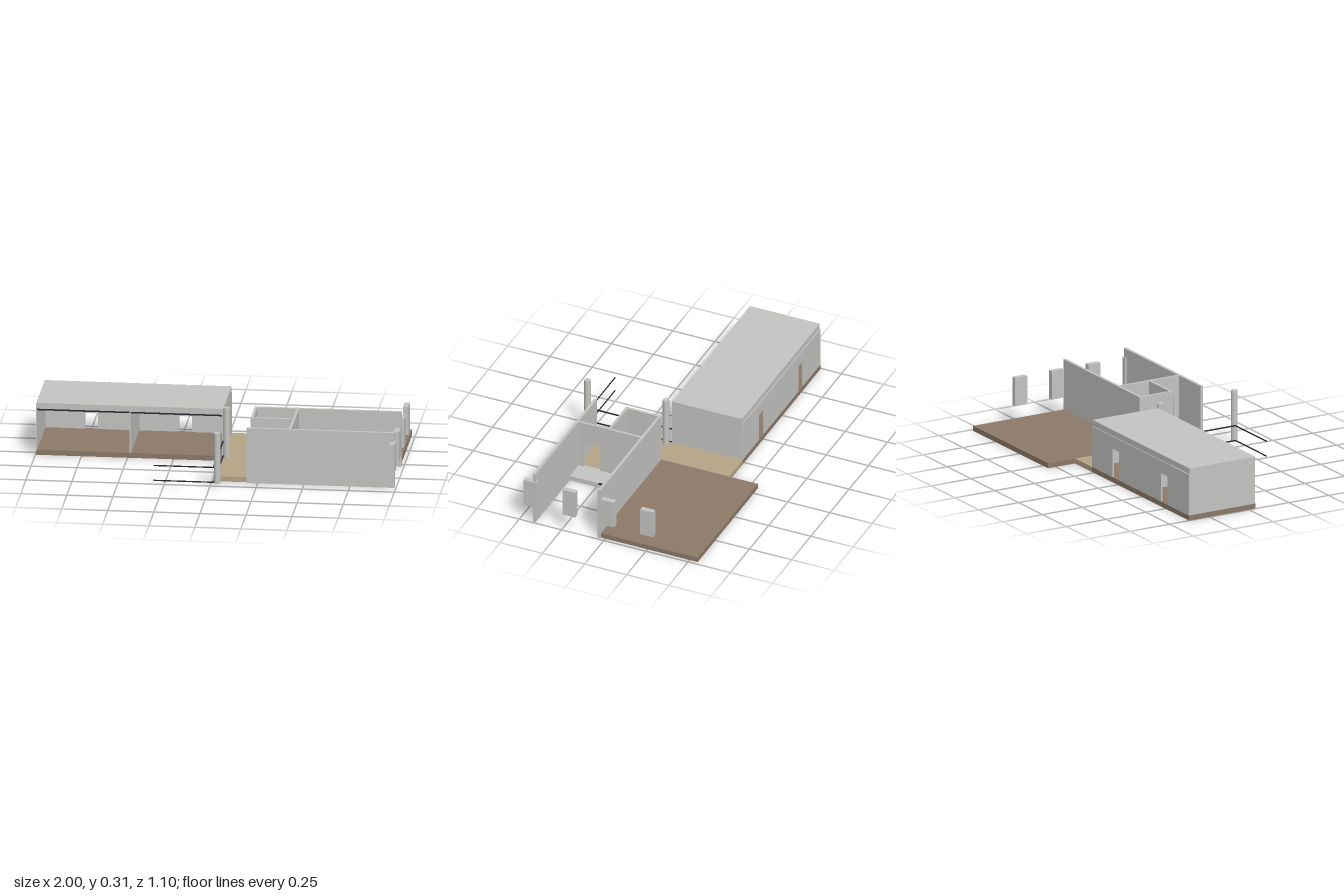
import * as THREE from 'three';

export function createModel() {
  const model = new THREE.Group();
  model.name = 'house';
  const material = (name, color) => {
    const m = new THREE.MeshStandardMaterial({ color });
    m.name = name;
    return m;
  };
  const grey = material('grey plaster', 0xc4c4c2);
  const brown = material('brown decking', 0x8c7968);
  const tan = material('tan paving', 0xb5a487);
  const dark = material('dark metal', 0x2a2830);

  const add = (name, geometry, mat) => {
    const mesh = new THREE.Mesh(geometry, mat);
    mesh.name = name;
    model.add(mesh);
    return mesh;
  };
  // box given by its limits on each axis
  const box = (name, mat, x0, x1, y0, y1, z0, z1) =>
    add(name, new THREE.BoxGeometry(x1 - x0, y1 - y0, z1 - z0), mat)
      .position.set((x0 + x1) / 2, (y0 + y1) / 2, (z0 + z1) / 2);
  // wall in the xy plane with doorways cut up from its foot
  const doorWall = (name, a0, a1, y0, y1, doors, thickness) => {
    const s = new THREE.Shape();
    s.moveTo(a0, y0);
    for (const [d0, d1, top] of doors) {
      s.lineTo(d0, y0); s.lineTo(d0, top); s.lineTo(d1, top); s.lineTo(d1, y0);
    }
    s.lineTo(a1, y0); s.lineTo(a1, y1); s.lineTo(a0, y1);
    return add(name, new THREE.ExtrudeGeometry(s, { depth: thickness, bevelEnabled: false }), grey);
  };

  const F = 0.028; // floor level
  const W = 0.31;  // tall wall top

  // floors
  box('longFloor', brown, -0.997, 0.02, 0, F, -0.378, 0.042);
  box('backDeck', brown, 0.195, 0.98, 0, F, -0.548, 0.025);
  box('path', tan, 0.02, 0.195, 0, F, -0.378, 0.41);
  box('entryFloor', tan, 0.195, 0.418, 0, F, 0.235, 0.41);
  box('smallRoomFloor', grey, 0.195, 0.418, 0, F, 0.035, 0.235);
  box('sideRoomFloor', grey, 0.418, 0.545, 0, F, 0.035, 0.41);

  // long open-fronted wing
  doorWall('rearWall', -0.997, 0.02, F, 0.26,
    [[-0.775, -0.705, 0.19], [-0.265, -0.195, 0.19]], 0.01).position.z = -0.378;
  box('leftEndWall', grey, -0.997, -0.99, F, 0.26, -0.368, 0.04);
  box('rightEndWall', grey, 0.013, 0.02, F, 0.26, -0.368, 0.04);
  box('partition', grey, -0.489, -0.481, F, 0.26, -0.368, 0.042);
  box('roof', grey, -0.995, 0.02, 0.26, 0.293, -0.373, 0.04);
  for (const [x0, x1] of [[-0.99, -0.489], [-0.481, 0.013]])
    box('curtainRail', dark, x0, x1, 0.251, 0.26, 0.03, 0.039);

  // tall walls of the second wing
  box('longWall', grey, 0.19, 0.988, 0, W, 0.025, 0.041);
  box('frontWall', grey, 0.19, 0.992, 0, W, 0.408, 0.424);
  box('smallRoomSideWall', grey, 0.19, 0.205, 0, W, 0.041, 0.235);
  box('smallRoomFrontWall', grey, 0.205, 0.418, F, W, 0.22, 0.235);
  const cross = doorWall('crossWall', -0.408, -0.041, F, W, [[-0.375, -0.28, 0.19]], 0.014);
  cross.rotation.y = Math.PI / 2;
  cross.position.x = 0.418;
  box('floorCatch', dark, 0.542, 0.55, 0.022, 0.03, 0.212, 0.236);

  // free-standing panels at the far end
  for (const z of [-0.253, -0.022, 0.208, 0.439])
    box('endPanel', grey, 0.968, 0.998, 0.1, 0.26, z - 0.038, z + 0.038);

  // round posts with thin rails between and beside them
  for (const z of [0.066, 0.531])
    add('post', new THREE.CylinderGeometry(0.018, 0.018, W - F, 24), grey)
      .position.set(0.042, (W + F) / 2, z);
  for (const y of [0.03, 0.114]) {
    box('sideRail', dark, 0.018, 0.024, y - 0.003, y + 0.003, 0.042, 0.528);
    box('frontRail', dark, -0.305, 0.024, y - 0.003, y + 0.003, 0.524, 0.528);
  }
  return model;
}
